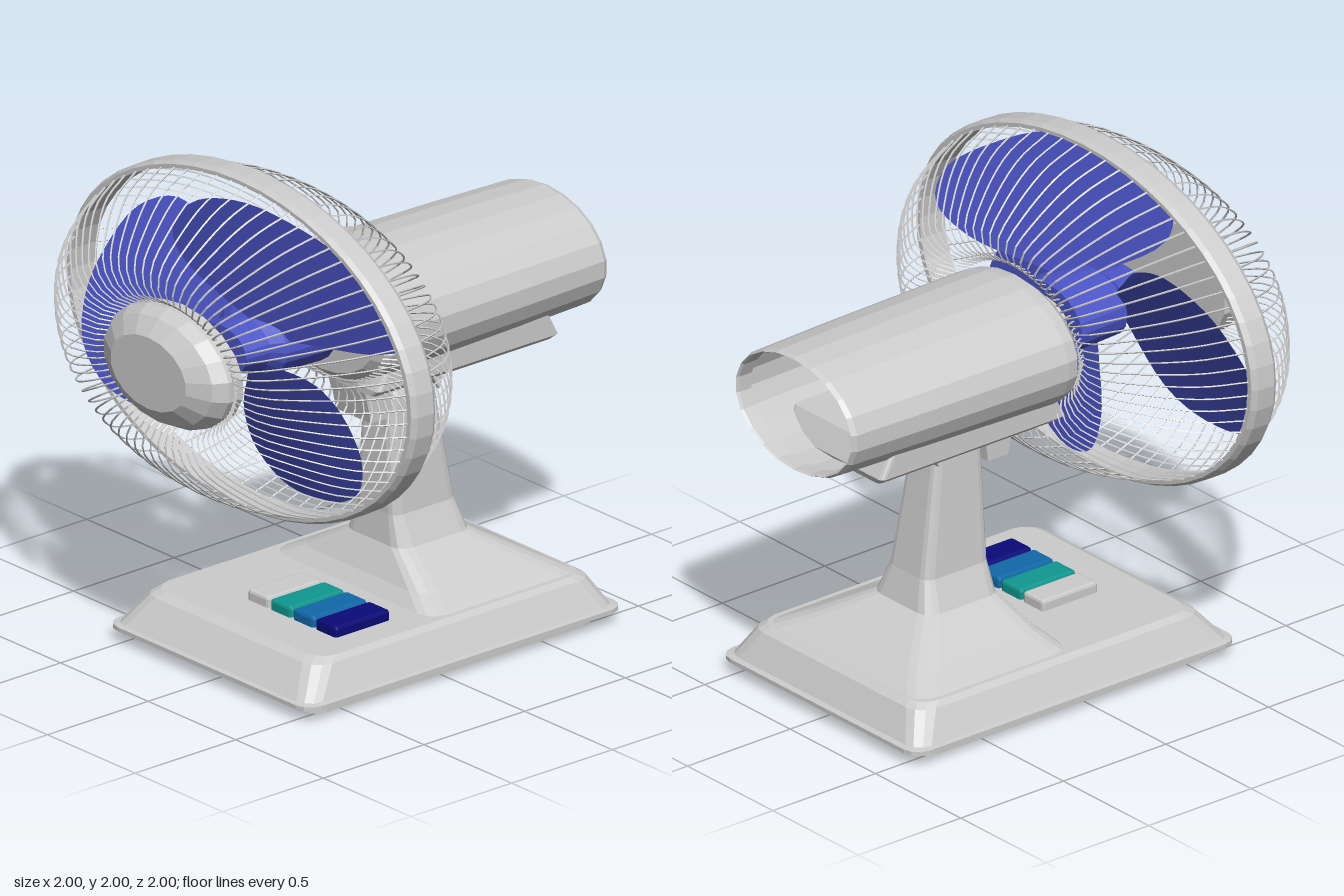
import * as THREE from 'three';
import { mergeGeometries } from 'three/addons/utils/BufferGeometryUtils.js';
import { RoundedBoxGeometry } from 'three/addons/geometries/RoundedBoxGeometry.js';
import { ParametricGeometry } from 'three/addons/geometries/ParametricGeometry.js';

const material = (color = 0xcccccc, flatShading = true) =>
  new THREE.MeshStandardMaterial({ color, flatShading, side: THREE.DoubleSide });
const grey = material();
const blue = material(0x4b54c8);
const blueSmooth = material(0x4b54c8, false);

function add(parent, name, geometry, mat = grey) {
  const mesh = new THREE.Mesh(geometry, mat);
  mesh.name = name;
  parent.add(mesh);
  return mesh;
}

// Stacked rounded rectangles, each section: [y, half width, front z, back z, corner radius]
function loft(sections) {
  const steps = 3, n = 4 * (steps + 1);
  const pos = [], index = [];
  for (const [y, w, zf, zb, r] of sections) {
    const mid = (zf + zb) / 2, d = (zf - zb) / 2;
    for (let c = 0; c < 4; c++) {
      const sx = c === 0 || c === 3 ? 1 : -1, sz = c < 2 ? 1 : -1;
      for (let k = 0; k <= steps; k++) {
        const a = (c + k / steps) * Math.PI / 2;
        pos.push(sx * (w - r) + r * Math.cos(a), y, mid + sz * (d - r) + r * Math.sin(a));
      }
    }
  }
  for (let s = 0; s < sections.length - 1; s++) {
    for (let i = 0; i < n; i++) {
      const a = s * n + i, b = s * n + (i + 1) % n;
      index.push(a, a + n, b, b, a + n, b + n);
    }
  }
  const top = (sections.length - 1) * n;
  for (let i = 1; i < n - 1; i++) {
    index.push(0, i, i + 1, top, top + i + 1, top + i);
  }
  const g = new THREE.BufferGeometry();
  g.setAttribute('position', new THREE.Float32BufferAttribute(pos, 3));
  g.setIndex(index);
  g.computeVertexNormals();
  return g;
}

// Turned part about the z axis, profile: [radius, z]
function turned(profile, sides) {
  return new THREE.LatheGeometry(profile.map(([r, z]) => new THREE.Vector2(r, z)), sides)
    .rotateX(Math.PI / 2);
}

// Ring of thin wires that follow one [radius, z] path
function wires(path, count) {
  const curve = new THREE.CatmullRomCurve3(path.map(([r, z]) => new THREE.Vector3(r, 0, z)));
  const wire = new THREE.TubeGeometry(curve, 14, 0.0034, 4);
  return mergeGeometries(Array.from({ length: count }, (_, i) =>
    wire.clone().rotateZ((i + 0.5) / count * Math.PI * 2)));
}

// Pitched blade that points along +x
function bladeGeometry() {
  const outline = new THREE.CatmullRomCurve3([
    [0.10, 0.08], [0.17, 0.30], [0.27, 0.37], [0.44, 0.36], [0.56, 0.25], [0.60, 0.08],
    [0.585, -0.08], [0.52, -0.27], [0.40, -0.35], [0.27, -0.30], [0.16, -0.17], [0.09, -0.06],
  ].map(([x, y]) => new THREE.Vector3(x, y, 0)), true);
  const centre = new THREE.Vector3(0.35, 0, 0);
  return new ParametricGeometry((s, t, target) => {
    target.lerpVectors(centre, outline.getPoint(s % 1), Math.max(t, 0.001));
    target.z = 0.5 + 0.42 * target.y - 0.15 * target.y * target.y;
  }, 48, 6);
}

export function createModel() {
  const model = new THREE.Group();

  // Foot, sloped base and column
  const stand = new THREE.Group();
  stand.name = 'stand';
  model.add(stand);
  add(stand, 'foot', loft([[0, 0.52, 0.635, -0.785, 0.07], [0.055, 0.52, 0.635, -0.785, 0.07]]));
  add(stand, 'base', loft([
    [0.048, 0.58, 0.71, -0.87, 0.07], [0.064, 0.58, 0.71, -0.87, 0.07],
    [0.068, 0.56, 0.69, -0.845, 0.07], [0.18, 0.5, 0.6, -0.785, 0.08],
    [0.2, 0.48, 0.56, -0.755, 0.08],
  ]));
  add(stand, 'column', loft([
    [0.19, 0.48, 0.0, -0.765, 0.08], [0.25, 0.36, -0.05, -0.66, 0.08],
    [0.36, 0.17, -0.11, -0.47, 0.06], [0.48, 0.12, -0.122, -0.435, 0.04],
    [0.75, 0.1, -0.125, -0.39, 0.035], [0.94, 0.088, -0.13, -0.36, 0.03],
    [0.975, 0.07, -0.15, -0.335, 0.03],
  ]));

  // Row of push buttons
  [0xcccccc, 0x109890, 0x1068a8, 0x0a0a78].forEach((color, i) => {
    add(stand, 'button' + (i + 1), new RoundedBoxGeometry(0.118, 0.07, 0.27, 1, 0.012), material(color))
      .position.set(-0.087 + i * 0.129, 0.208, 0.245);
  });

  // Tilt joint between column and motor
  const joint = new THREE.Group();
  joint.name = 'tiltJoint';
  model.add(joint);
  const side = new THREE.Shape([
    [-0.01, 1.02], [0.02, 0.88], [0.12, 0.88], [0.13, 0.98], [0.33, 0.98], [0.36, 0.93], [0.395, 1.025],
  ].map(([x, y]) => new THREE.Vector2(x, y)));
  add(joint, 'bracket', new THREE.ExtrudeGeometry(side, { depth: 0.2, bevelEnabled: false })
    .translate(0, 0, -0.1).rotateY(Math.PI / 2));
  add(joint, 'swivel', new THREE.CylinderGeometry(0.09, 0.09, 0.06, 12))
    .position.set(0, 1.04, -0.14);

  // Motor housing, open at the back, with the gear box below
  const motor = add(model, 'motorHousing', turned([
    [0.225, -0.93], [0.225, -0.99], [0.23, -1.0], [0.238, -0.98], [0.247, -0.6],
    [0.256, 0.03], [0.25, 0.08], [0.21, 0.125], [0, 0.125],
  ], 22));
  motor.position.set(-0.02, 1.316, 0);
  motor.scale.x = 1.48;
  add(model, 'gearBox', loft([
    [1.06, 0.26, 0.09, -0.8, 0.02], [1.085, 0.29, 0.09, -0.81, 0.02], [1.18, 0.29, 0.04, -0.76, 0.02],
  ])).position.x = -0.02;
  add(model, 'gearBoxPanel', new THREE.BoxGeometry(0.36, 0.02, 0.6)).position.set(-0.02, 1.058, -0.42);

  // Fan head, circular parts widened into ellipses
  const head = new THREE.Group();
  head.name = 'fanHead';
  head.position.y = 1.33;
  head.scale.x = 1.49;
  model.add(head);
  add(head, 'cageRing', turned([
    [0.645, 0.43], [0.66, 0.43], [0.671, 0.45], [0.671, 0.53], [0.66, 0.55], [0.645, 0.55], [0.645, 0.43],
  ], 48));
  add(head, 'frontWires', wires([
    [0.22, 0.83], [0.25, 0.9], [0.30, 0.93], [0.38, 0.92], [0.50, 0.81], [0.59, 0.69], [0.65, 0.54],
  ], 72));
  add(head, 'rearWires', wires([
    [0.24, 0.13], [0.28, 0.06], [0.37, 0.03], [0.47, 0.11], [0.59, 0.27], [0.65, 0.44],
  ], 72));
  add(head, 'frontCap', turned([
    [0, 0.83], [0.235, 0.83], [0.236, 0.9], [0.21, 0.95], [0.145, 1.0], [0, 1.0],
  ], 18));
  add(head, 'shaft', turned([[0.085, 0.12], [0.085, 0.27]], 12));

  // Hub and three pitched blades
  add(head, 'hub', turned([
    [0, 0.25], [0.14, 0.25], [0.132, 0.48], [0.1, 0.52], [0.095, 0.635], [0, 0.635],
  ], 20), blue);
  const blade = bladeGeometry();
  for (let i = 0; i < 3; i++) {
    add(head, 'blade' + (i + 1), blade, blueSmooth).rotation.z = Math.PI / 3 + i * Math.PI * 2 / 3;
  }
  return model;
}
